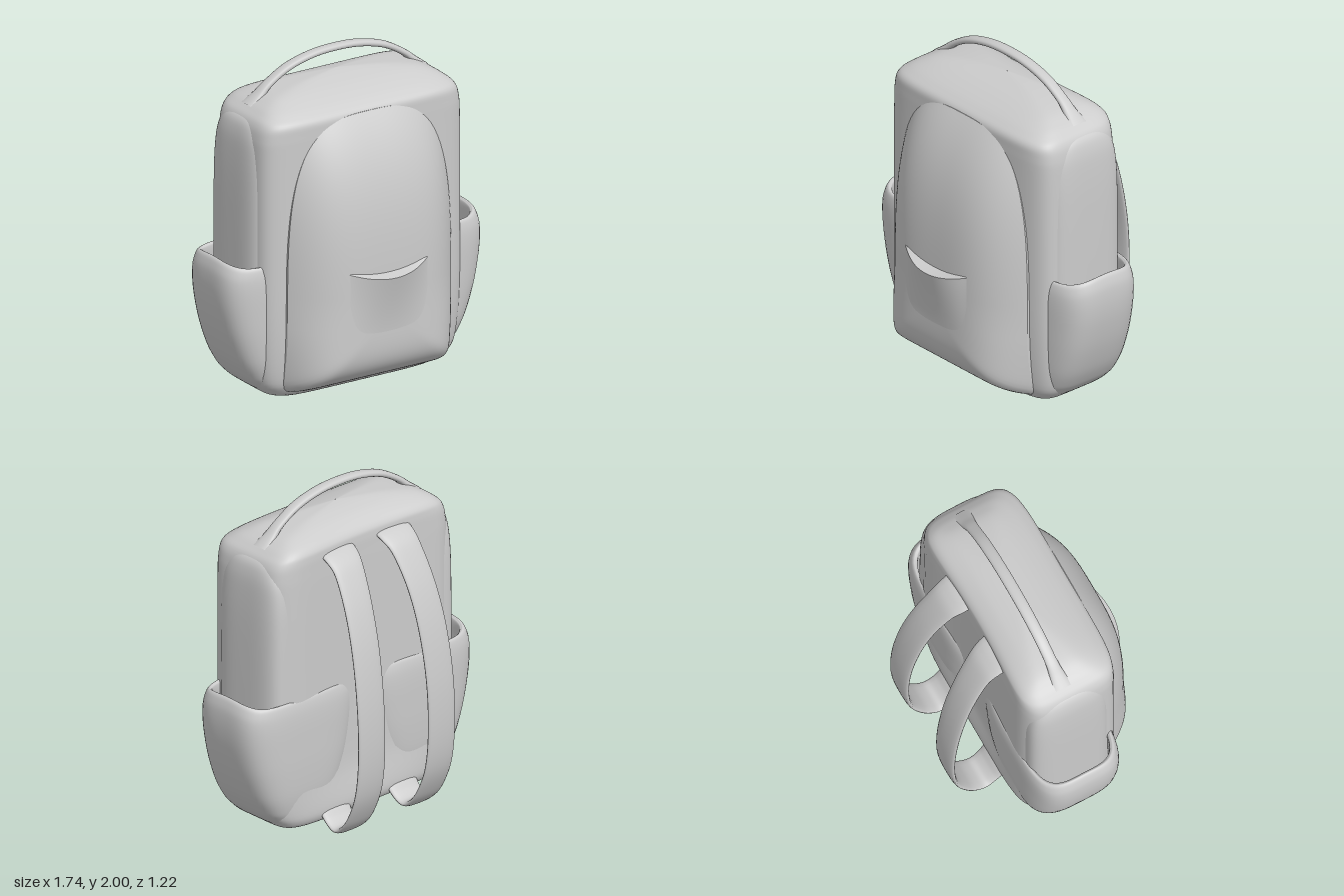
import * as THREE from 'three';

const grey = new THREE.MeshStandardMaterial({ color: 0xcccccc, side: THREE.DoubleSide });
const V = (x, y, z) => new THREE.Vector3(x, y, z);

// Skin a list of equally long rows of points; closed rows wrap around.
function skin(name, rows, closed = true) {
  const n = rows[0].length, pos = [], idx = [];
  rows.forEach(r => r.forEach(p => pos.push(p.x, p.y, p.z)));
  for (let j = 0; j < rows.length - 1; j++)
    for (let i = 0; i < (closed ? n : n - 1); i++) {
      const k = (i + 1) % n, a = j * n + i, b = j * n + k, c = b + n, d = a + n;
      idx.push(a, b, c, a, c, d);
    }
  const g = new THREE.BufferGeometry();
  g.setAttribute('position', new THREE.Float32BufferAttribute(pos, 3));
  g.setIndex(idx);
  g.computeVertexNormals();
  const mesh = new THREE.Mesh(g, grey);
  mesh.name = name;
  return mesh;
}

// Smoothly subdivide a table of numeric rows (Catmull-Rom per column).
function smoothRows(rows, steps = 5) {
  const out = [], at = i => rows[Math.min(Math.max(i, 0), rows.length - 1)];
  for (let i = 0; i < rows.length - 1; i++)
    for (let s = 0; s < steps; s++) {
      const t = s / steps;
      out.push(rows[i].map((p1, c) => {
        const p0 = at(i - 1)[c], p2 = at(i + 1)[c], p3 = at(i + 2)[c];
        return p1 + 0.5 * t * (p2 - p0 + t * (2 * p0 - 5 * p1 + 4 * p2 - p3 + t * (3 * (p1 - p2) + p3 - p0)));
      }));
    }
  out.push(rows.at(-1));
  return out;
}

// Unit superellipse, counter-clockwise.
function superellipse(n, count) {
  return Array.from({ length: count }, (_, i) => {
    const a = i / count * Math.PI * 2, c = Math.cos(a), s = Math.sin(a);
    const r = Math.pow(Math.abs(c) ** n + Math.abs(s) ** n, -1 / n);
    return [c * r, s * r];
  });
}

// Vertical loft; rows are [y, cx, halfWidth, zFront, zBack].
function loft(name, table, n, count, tweak = p => p) {
  const unit = superellipse(n, count);
  return skin(name, smoothRows(table).map(([y, cx, w, f, b], j) =>
    unit.map(([u, v]) => tweak(V(cx + u * w, y, (f + b) / 2 - v * (f - b) / 2), j))));
}

// Flat band along a path; rows are [x, y, z, halfWidth, halfThickness].
function band(name, table, axis) {
  const path = smoothRows(table, 8), unit = superellipse(2.6, 20);
  return skin(name, path.map(([x, y, z, w, h], i) => {
    const a = path[Math.max(i - 1, 0)], b = path[Math.min(i + 1, path.length - 1)];
    const t = V(b[0] - a[0], b[1] - a[1], b[2] - a[2]).normalize();
    const nrm = t.clone().cross(axis).normalize();
    return unit.map(([u, v]) => V(x, y, z).addScaledVector(axis, u * w).addScaledVector(nrm, v * h));
  }));
}

// Domed front panel: distance from its centre (0..1 at the rim) and surface depth.
const PC = 0.55, PW = 0.55;
function panelS(x, y) {
  const dy = y - PC, n = dy > 0 ? 3.3 : 14, h = dy > 0 ? 1.16 : 0.46;
  return Math.pow(Math.abs(x / PW) ** n + Math.abs(dy / h) ** n, 1 / n);
}
function panelZ(x, y) {
  const base = 0.335 - 0.09 * Math.max(0, 1 - y / 0.5) ** 2;
  const p = 3.6 + 1.2 * THREE.MathUtils.smoothstep(-y, -0.7, -0.1);
  return base + (0.548 - base) * (1 - Math.min(1, panelS(x, y)) ** p);
}

function frontPanel() {
  const rim = Array.from({ length: 160 }, (_, i) => {
    const a = i / 160 * Math.PI * 2, x = Math.cos(a), y = Math.sin(a);
    const r = 1 / panelS(x, PC + y);
    return [x * r, y * r];
  });
  const rows = [rim.map(([x, y]) => V(x, PC + y, panelZ(x, PC + y) - 0.07))];
  rows.push(rim.map(([x, y]) => V(x, PC + y, panelZ(x, PC + y))));
  for (let j = 0; j <= 36; j++) {
    const s = (1 - j / 36) ** 0.8;
    rows.push(rim.map(([x, y]) => V(x * s, PC + y * s, panelZ(x * s, PC + y * s))));
  }
  return skin('frontPanel', rows);
}

// Small slot pocket: swells towards a curved lip, then folds back to the panel.
function frontPocket() {
  const rows = [], cols = 32, row = (v, fold) => Array.from({ length: cols + 1 }, (_, i) => {
    const u = i / cols * 2 - 1, x = 0.26 * u;
    const low = 0.42 + 0.08 * u ** 8, top = 0.79 + 0.045 * u * u;
    const y = low + (top - low) * v + (fold ? 0.02 : 0);
    const bulge = 0.064 * (1 - u * u) ** 1.2 * v ** 1.5;
    return V(x, y, panelZ(x, y) + (fold ? -0.012 : bulge + 0.004 * v - 0.002));
  });
  for (let j = 0; j <= 20; j++) rows.push(row(j / 20, false));
  rows.push(row(1, false), row(1, true));
  return skin('frontPocket', rows, false);
}

export function createModel() {
  const bag = new THREE.Group();
  bag.name = 'backpack';

  // Main body, with a slightly hollow back
  bag.add(loft('body', [
    [0, 0, 0.001, 0.001, -0.001], [0.008, 0, 0.3, 0.09, -0.09], [0.03, 0, 0.46, 0.18, -0.17],
    [0.06, 0, 0.56, 0.245, -0.24], [0.1, 0, 0.615, 0.285, -0.278], [0.2, 0, 0.66, 0.315, -0.288],
    [0.5, 0, 0.68, 0.335, -0.288], [1, 0, 0.682, 0.338, -0.285], [1.5, 0, 0.68, 0.338, -0.282],
    [1.64, 0, 0.672, 0.338, -0.28], [1.71, 0, 0.65, 0.332, -0.278], [1.75, 0, 0.61, 0.29, -0.27],
    [1.785, 0, 0.555, 0.23, -0.235], [1.82, 0, 0.46, 0.15, -0.155], [1.848, 0, 0.25, 0.06, -0.07],
    [1.862, 0, 0.001, 0.001, -0.001]], 6, 144, p => {
    const hollow = Math.max(0, 1 - (p.x / 0.55) ** 2) * THREE.MathUtils.smoothstep(-p.z, 0.12, 0.27);
    p.z += 0.035 * hollow * THREE.MathUtils.smoothstep(p.y, 0.1, 0.4);
    return p;
  }));

  bag.add(frontPanel(), frontPocket());

  for (const s of [-1, 1]) {
    // Padded side panel above the side pocket
    bag.add(loft('sidePanel', [
      [0.5, 0.58 * s, 0.13, 0.245, -0.255], [1.2, 0.58 * s, 0.13, 0.245, -0.255],
      [1.5, 0.58 * s, 0.122, 0.235, -0.245], [1.64, 0.58 * s, 0.105, 0.2, -0.21],
      [1.71, 0.58 * s, 0.07, 0.13, -0.14], [1.74, 0.58 * s, 0.001, 0.001, -0.001]], 3.6, 64));

    // Open side pocket: up the outside, over the rim, down the inside
    const wall = [
      [0.05, 0.54, 0.14], [0.1, 0.625, 0.215], [0.15, 0.68, 0.24], [0.2, 0.718, 0.255], [0.3, 0.77, 0.27],
      [0.45, 0.822, 0.278], [0.6, 0.856, 0.28], [0.72, 0.87, 0.28], [0.82, 0.868, 0.276], [0.88, 0.853, 0.268],
      [0.903, 0.838, 0.258], [0.9, 0.825, 0.246], [0.87, 0.815, 0.238], [0.7, 0.815, 0.24],
      [0.4, 0.77, 0.23], [0.35, 0.55, 0.03]];
    bag.add(loft('sidePocket', wall.map(([y, x, d]) => [y, 0.45 * s, x - 0.45, d - 0.004, -d - 0.006]), 3.8, 80, p => {
      // wavy opening, highest in the middle
      p.y -= 0.03 * Math.min(1, (p.z / 0.22) ** 2) * THREE.MathUtils.smoothstep(p.y, 0.7, 0.9);
      return p;
    }));

    // Shoulder strap
    bag.add(band('shoulderStrap', [
      [0.21, 1.71, -0.2, 0.125, 0.02], [0.212, 1.675, -0.28, 0.118, 0.02], [0.22, 1.6, -0.355, 0.105, 0.018],
      [0.24, 1.4, -0.455, 0.1, 0.018], [0.255, 1.15, -0.53, 0.1, 0.018], [0.265, 0.85, -0.577, 0.1, 0.018],
      [0.267, 0.55, -0.587, 0.1, 0.018], [0.267, 0.32, -0.56, 0.1, 0.018], [0.265, 0.15, -0.49, 0.1, 0.018],
      [0.262, 0.065, -0.42, 0.1, 0.018], [0.26, 0.045, -0.365, 0.1, 0.018], [0.257, 0.075, -0.31, 0.102, 0.018],
      [0.255, 0.13, -0.26, 0.108, 0.02], [0.255, 0.18, -0.2, 0.115, 0.02]]
      .map(([x, ...r]) => [x * s, ...r]), V(1, 0, 0)));
  }

  // Top grab handle
  const half = [[0.58, 1.74, 0.07, 0.032], [0.52, 1.795, 0.045, 0.024], [0.45, 1.856, 0.035, 0.019],
    [0.32, 1.928, 0.034, 0.019], [0.16, 1.97, 0.034, 0.019]];
  const row = s => ([x, y, w, h]) => [s * x, y, -0.015, w, h];
  bag.add(band('handle', [...half.map(row(-1)), [0, 1.981, -0.015, 0.034, 0.019],
    ...half.map(row(1)).reverse()], V(0, 0, 1)));

  return bag;
}
